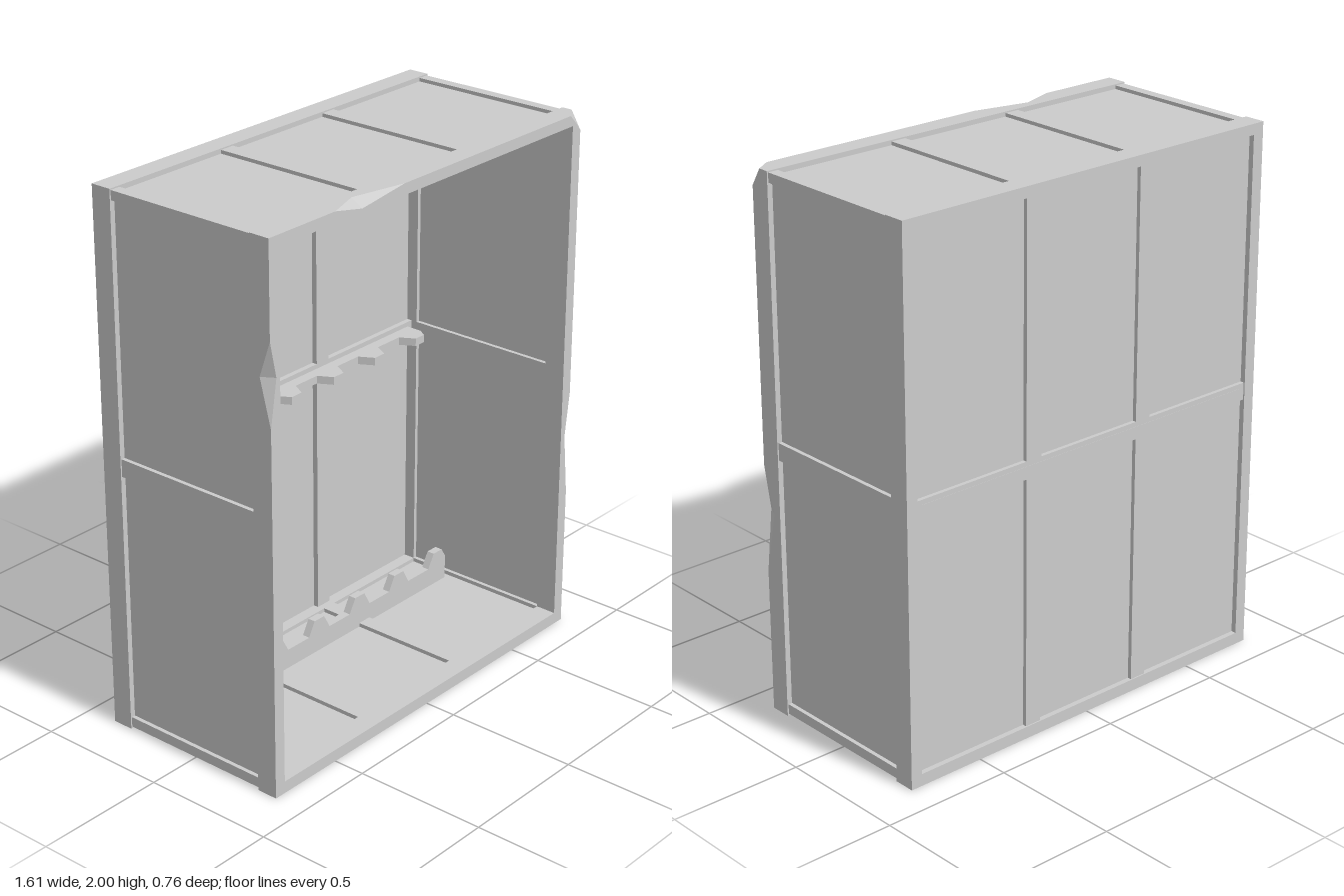
import * as THREE from 'three';

const mat = new THREE.MeshStandardMaterial({ color: 0xcccccc, flatShading: true });
const IX = 0.76, Y0 = 0.045, Y1 = 1.96; // inner opening of the frames
const W = 0.805, H = 2, F = 0.38, R = 0.3;

export function createModel() {
  const group = new THREE.Group();
  const add = (name, geo) => {
    const m = new THREE.Mesh(geo, mat);
    m.name = name;
    group.add(m);
    return m;
  };
  // box given by its extents on each axis
  const box = (name, x0, x1, y0, y1, z0, z1) =>
    add(name, new THREE.BoxGeometry(x1 - x0, y1 - y0, z1 - z0)
      .translate((x0 + x1) / 2, (y0 + y1) / 2, (z0 + z1) / 2));

  add('frontFrame', chippedFrame());

  // back frame
  const rim = rect(-W, W, 0, H);
  rim.holes.push(rect(-IX, IX, Y0, Y1));
  add('backFrame', new THREE.ExtrudeGeometry(rim, { depth: F - R, bevelEnabled: false }).translate(0, 0, -F));

  // back panel with its rails
  box('backPanel', -IX, IX, Y0, Y1, -0.36, -0.345);
  box('backMiddleRail', -IX, IX, 0.98, 1.045, -0.375, -0.325);
  for (const x of [-0.255, 0.252]) {
    box('backMullion', x - 0.033, x + 0.033, Y0, 0.98, -0.375, -0.325);
    box('backMullion', x - 0.033, x + 0.033, 1.045, Y1, -0.375, -0.325);
  }

  // side walls
  for (const s of [-1, 1]) {
    const side = (name, a, b, y0, y1) =>
      box(name, Math.min(s * a, s * b), Math.max(s * a, s * b), y0, y1, -R, R);
    side('sidePanel', 0.775, 0.785, Y0, Y1);
    side('sideMiddleRail', IX, 0.8, 0.98, 1.045);
    side('sideBottomRail', IX, 0.8, 0.007, Y0);
    side('sideTopRail', IX, 0.8, Y1, 1.995);
  }

  // top and bottom walls
  box('topPanel', -IX, IX, 1.972, 1.982, -R, R);
  box('bottomPanel', -IX, IX, 0.02, 0.03, -R, R);
  for (const x of [-0.257, 0.255]) {
    box('topRib', x - 0.029, x + 0.029, Y1, 1.995, -R, R);
    box('bottomRib', x - 0.029, x + 0.029, 0.007, Y0, -R, R);
  }

  // notched racks: one upright on the floor, one lying flat on the back rail
  add('lowerRack', rackGeometry(0.03).translate(0, 0, -0.157));
  add('upperRack', rackGeometry(0.012).rotateX(Math.PI / 2).translate(0, 1.027, -0.388));

  return group;
}

function rect(x0, x1, y0, y1) {
  return new THREE.Shape([[x0, y0], [x1, y0], [x1, y1], [x0, y1]].map(p => new THREE.Vector2(...p)));
}

// toothed plate: seven teeth, the outer two cut short at the ends
function rackGeometry(base) {
  const low = 0.105, high = 0.16, pts = [[0.737, base], [0.737, 0.125], [0.715, high], [0.667, high], [0.635, low]];
  for (let i = 2; i >= -2; i--) {
    const x = i * 0.2285;
    pts.push([x + 0.057, low], [x + 0.026, high], [x - 0.026, high], [x - 0.057, low]);
  }
  pts.push([-0.635, low], [-0.667, high], [-0.715, high], [-0.737, 0.125], [-0.737, base]);
  return new THREE.ExtrudeGeometry(new THREE.Shape(pts.map(p => new THREE.Vector2(...p))),
    { depth: 0.03, bevelEnabled: false });
}

// front frame swept round the opening; chips pull its outer front edge apart
function chippedFrame() {
  // station: outer x, y, then the front point x, y and the depth of the side point
  const plain = (x, y) => [x, y, x, y, F];
  const stations = [
    plain(-W, 0), plain(W, 0),
    plain(W, 0.54), [W, 0.77, 0.782, 0.77, 0.332], plain(W, 0.94),
    plain(W, 1.935), [W, H, 0.777, 1.968, 0.34], plain(0.745, H),
    plain(-0.155, H), [-0.365, H, -0.365, 1.973, 0.335], plain(-0.495, H),
    plain(-W, H),
    plain(-W, 1.66), [-W, 1.53, -0.777, 1.53, 0.335], plain(-W, 1.36),
  ];
  const sections = stations.map(([x, y, ax, ay, bz]) => {
    let ix = THREE.MathUtils.clamp(x, -IX, IX), iy = THREE.MathUtils.clamp(y, Y0, Y1);
    return [[ix, iy, F], [ax, ay, F], [x, y, bz], [x, y, R], [ix, iy, R]];
  });
  const pos = [];
  sections.forEach((s, i) => {
    const n = sections[(i + 1) % sections.length];
    for (let j = 0; j < 5; j++) {
      const k = (j + 1) % 5;
      pos.push(...s[j], ...s[k], ...n[k], ...s[j], ...n[k], ...n[j]);
    }
  });
  const geo = new THREE.BufferGeometry();
  geo.setAttribute('position', new THREE.Float32BufferAttribute(pos, 3));
  geo.computeVertexNormals();
  return geo;
}
